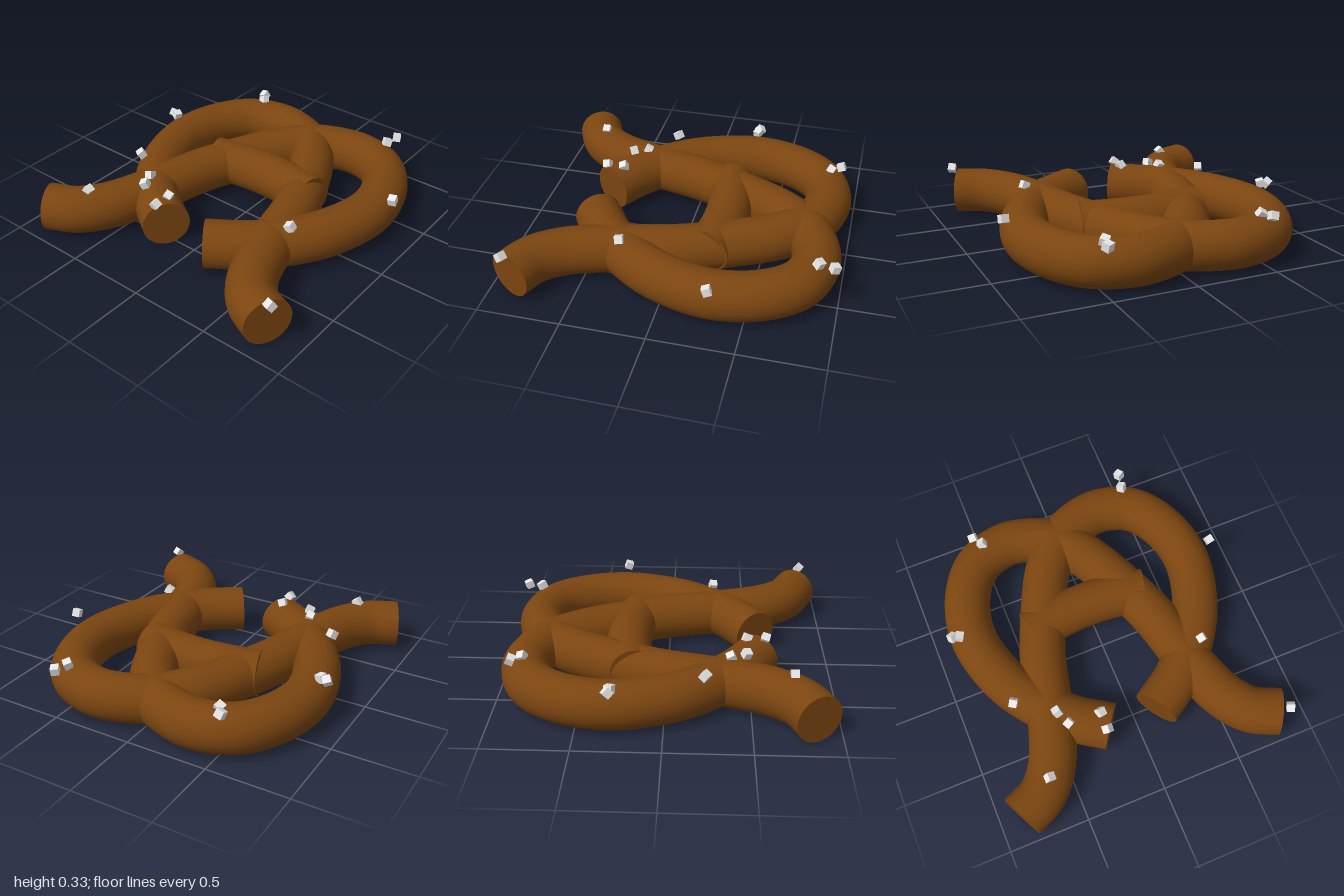
import * as THREE from 'three';

const AXIS = -0.02; // mirror line of the knot
const R = 0.144;

export function createModel() {
  const model = new THREE.Group();
  model.name = 'pretzel';
  const crust = new THREE.MeshStandardMaterial({ color: 0x7b4510 });
  crust.name = 'bakedCrust';
  const saltWhite = new THREE.MeshStandardMaterial({ color: 0xe6e6e6 });
  saltWhite.name = 'saltWhite';

  // Round rope along a flat curve, with a disc on each end
  function rope(name, curve, radius, segments) {
    const group = new THREE.Group();
    group.name = name;
    const tube = new THREE.Mesh(new THREE.TubeGeometry(curve, segments, radius, 40), crust);
    tube.name = name + 'Tube';
    group.add(tube);
    for (const t of [0, 1]) {
      const cap = new THREE.Mesh(new THREE.CircleGeometry(radius, 40), crust);
      const p = curve.getPointAt(t);
      const dir = curve.getTangentAt(t).multiplyScalar(t ? 1 : -1);
      cap.position.copy(p);
      cap.lookAt(p.clone().add(dir));
      cap.name = name + 'End';
      group.add(cap);
    }
    model.add(group);
  }

  // Each strand: inner stub, outer loop, crossing at the back, opposite leg and foot
  const path = [
    [0.13, 0.55], [0.34, 0.405], [0.51, 0.22], [0.635, 0.01], [0.711, -0.3],
    [0.655, -0.58], [0.515, -0.77], [0.3, -0.84], [0.1, -0.795], [-0.02, -0.725],
    [-0.137, -0.585], [-0.21, -0.46], [-0.385, -0.05], [-0.45, 0.2], [-0.505, 0.42],
    [-0.585, 0.63], [-0.7, 0.775], [-0.86, 0.855],
  ];
  for (const side of [1, -1]) {
    const points = path.map(([x, z]) => new THREE.Vector3(AXIS + side * (x - AXIS), 0.146, z));
    rope(side > 0 ? 'leftStrand' : 'rightStrand', new THREE.CatmullRomCurve3(points), R, 160);
  }

  // Bowed bar between the legs
  rope('crossBar', new THREE.QuadraticBezierCurve3(
    new THREE.Vector3(AXIS - 0.38, 0.157, -0.195),
    new THREE.Vector3(AXIS, 0.157, -0.295),
    new THREE.Vector3(AXIS + 0.38, 0.157, -0.195)), 0.14, 40);

  // Salt grains, tumbled by a fixed rule
  const salt = new THREE.Group();
  salt.name = 'saltGrains';
  const grain = new THREE.BoxGeometry(0.048, 0.048, 0.048);
  const spots = [
    [-0.53, -0.89], [-0.49, -0.83], [0.51, -0.96], [0.49, -0.87], [-0.87, -0.3], [-0.83, -0.29],
    [0.86, -0.31], [-0.67, 0.23], [0.54, 0.28], [-0.45, 0.38], [-0.41, 0.47], [-0.21, 0.48],
    [-0.21, 0.59], [-0.63, 0.73], [0.85, 0.88],
  ];
  spots.forEach(([x, z], i) => {
    const mesh = new THREE.Mesh(grain, saltWhite);
    mesh.name = 'saltGrain';
    mesh.position.set(x, 0.296, z);
    mesh.rotation.set(i * 1.3 + 0.4, i * 2.1, i * 0.7 + 0.3);
    salt.add(mesh);
  });
  model.add(salt);
  return model;
}
